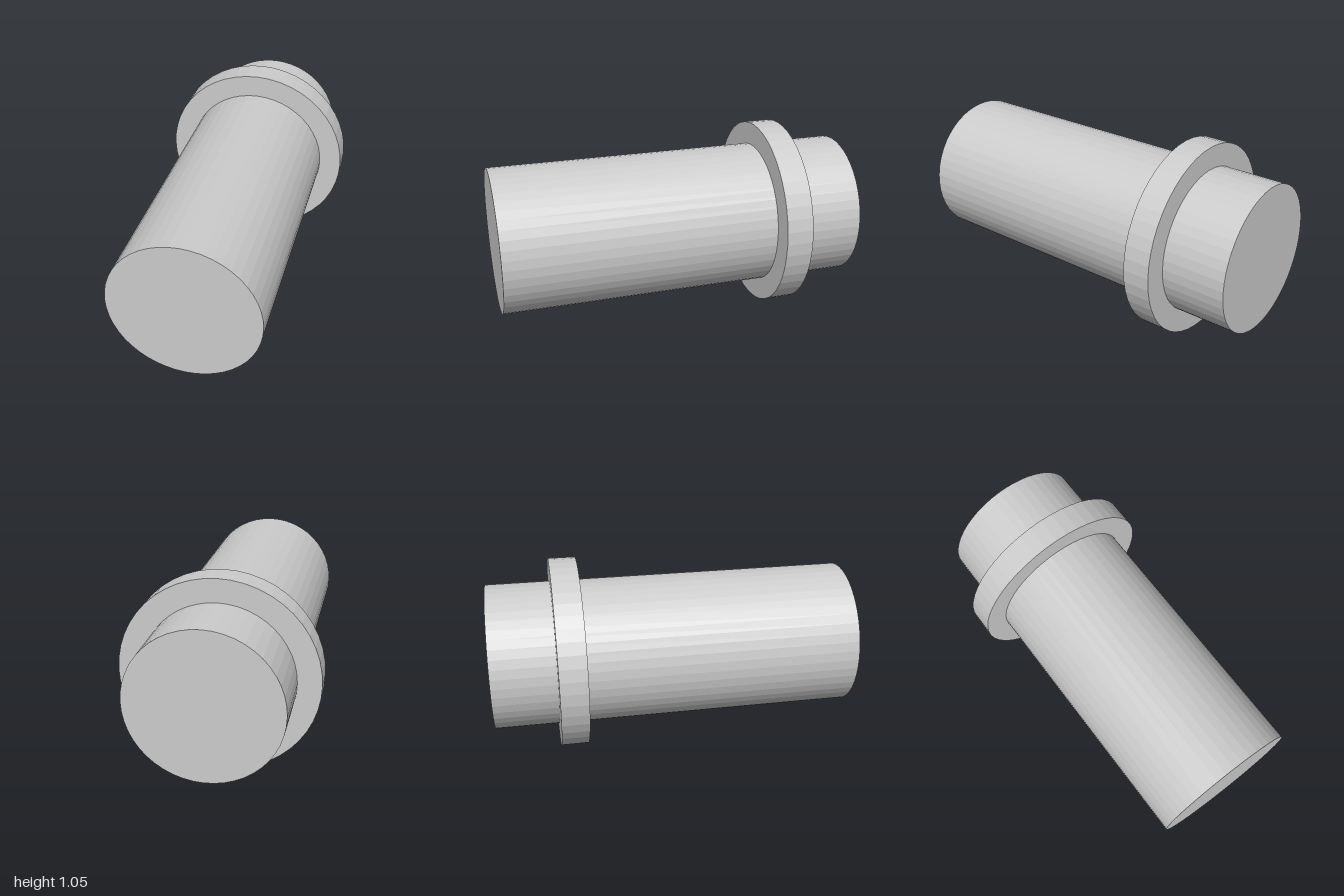
import * as THREE from 'three';

const SIDES = 48;
const AXIS_Y = 0.525; // height of the shared centre line

export function createModel() {
  const group = new THREE.Group();
  const material = new THREE.MeshStandardMaterial({ color: 0xcccccc, flatShading: true });

  // Solid faceted cylinder lying along z between two depths
  function addCylinder(name, radius, zBack, zFront) {
    const geometry = new THREE.CylinderGeometry(radius, radius, zFront - zBack, SIDES);
    geometry.rotateX(Math.PI / 2);
    const mesh = new THREE.Mesh(geometry, material);
    mesh.name = name;
    mesh.position.set(0, AXIS_Y, (zBack + zFront) / 2);
    group.add(mesh);
  }

  addCylinder('shaft', 0.4, -1, 1);
  addCylinder('collar', 0.525, -0.65, -0.5);

  return group;
}
